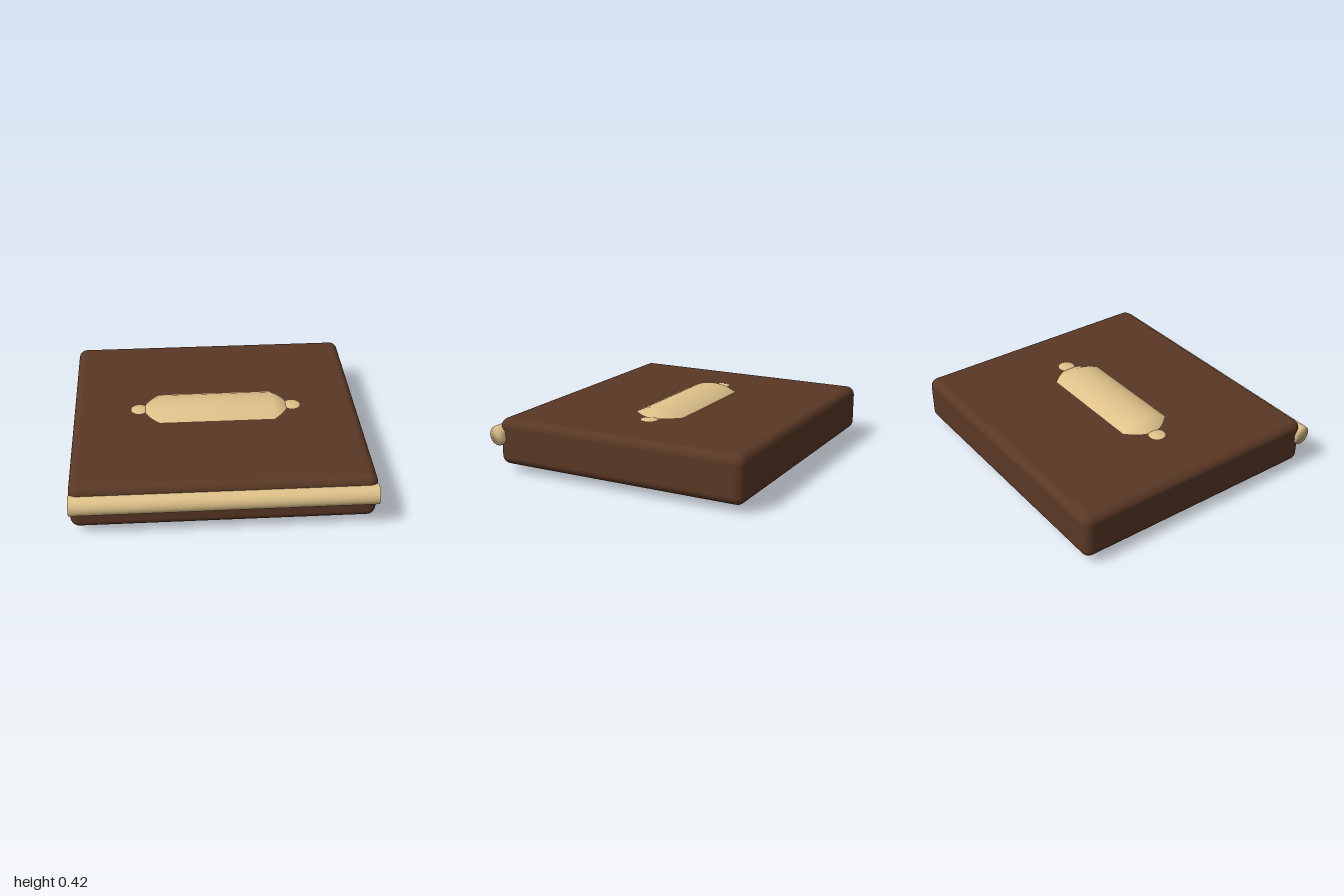
import * as THREE from 'three';
import { RoundedBoxGeometry } from 'three/addons/geometries/RoundedBoxGeometry.js';

const MID_Y = 0.214, MID_Z = -0.036;

// Solid of revolution lying along the x axis; profile is [radius, x] pairs
function turned(profile, segments) {
  const points = profile.map(([r, x]) => new THREE.Vector2(r, x));
  return new THREE.LatheGeometry(points, segments).rotateZ(-Math.PI / 2);
}

export function createModel() {
  const group = new THREE.Group();
  const brown = new THREE.MeshStandardMaterial({ color: 0x5a3825 });
  brown.name = 'darkBrown';
  const tan = new THREE.MeshStandardMaterial({ color: 0xdfc28a });
  tan.name = 'tan';

  const add = (name, geometry, material, x, y, z) => {
    const mesh = new THREE.Mesh(geometry, material);
    mesh.name = name;
    mesh.position.set(x, y, z);
    group.add(mesh);
    return mesh;
  };

  // Slab with rounded edges
  add('slab', new RoundedBoxGeometry(2, 0.32, 1.8, 4, 0.06), brown, 0, MID_Y, MID_Z);

  // Round bar set into the front edge
  add('frontBar', turned([[0, -1], [0.068, -1], [0.068, 1], [0, 1]], 32), tan, 0, 0.253, 0.867);

  // Toggle through the middle, oval in section with tapered ends
  const toggle = turned([[0, -0.6], [0.115, -0.6], [0.21, -0.4], [0.21, 0.4], [0.115, 0.6], [0, 0.6]], 48);
  add('toggle', toggle, tan, 0, MID_Y - 0.001, MID_Z).scale.z = 1.32;

  // Knobs at both ends of the toggle, barely breaking the surface
  for (const side of [-1, 1]) {
    const name = side > 0 ? 'leftKnob' : 'rightKnob';
    add(name, new THREE.SphereGeometry(0.17, 48, 32), tan, side * 0.54, MID_Y, MID_Z);
  }
  return group;
}
